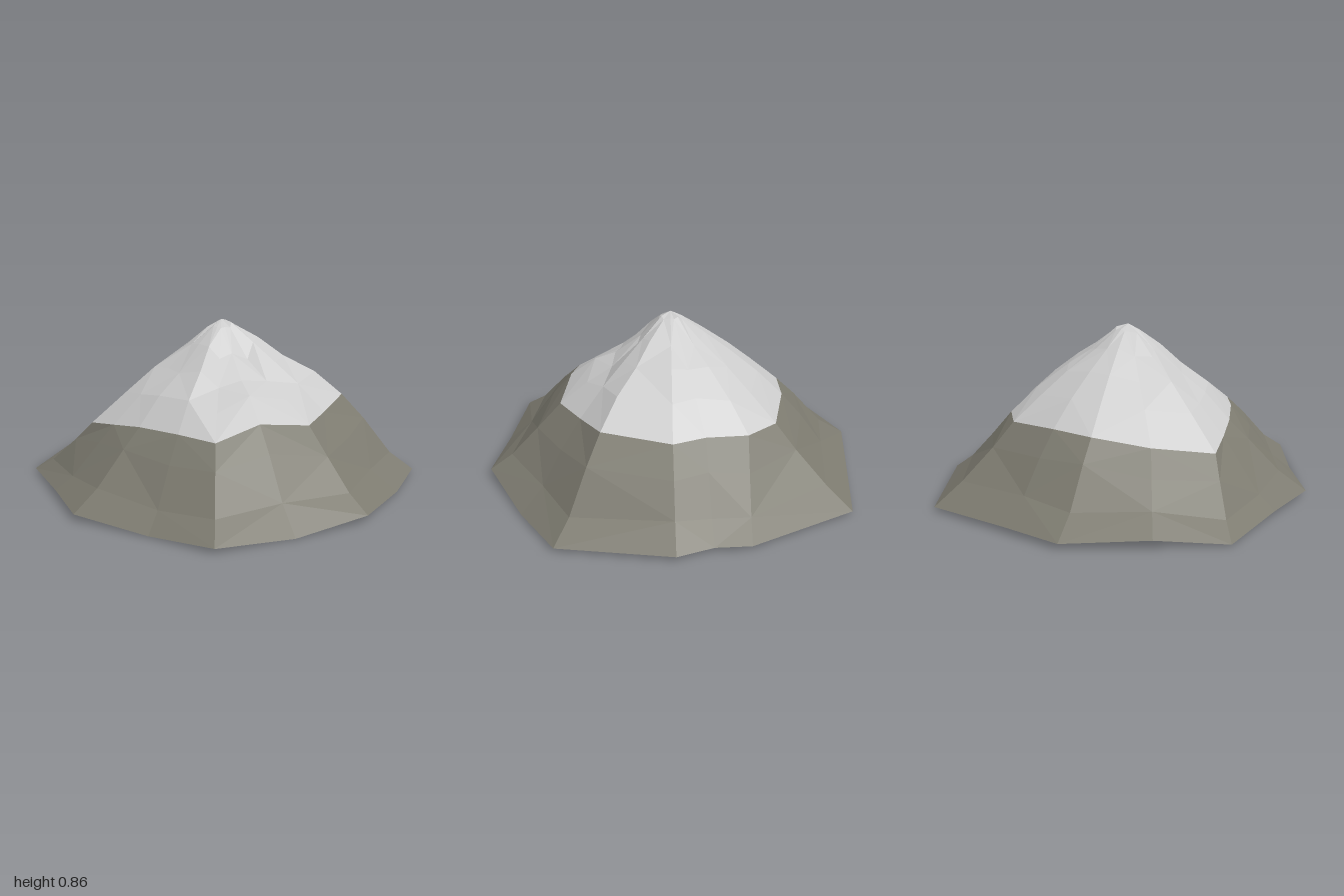
import * as THREE from 'three';

// Sixteen spokes, running from +x towards +z: [x, y, z]
const BASE = [
  [1, 0.04, -0.03], [0.88, 0, 0.35], [0.74, 0.025, 0.73], [0.4, 0.005, 0.83],
  [0, 0.03, 0.965], [-0.33, 0.03, 0.85], [-0.73, 0.01, 0.715], [-0.87, 0.045, 0.38],
  [-1, 0.03, -0.03], [-0.9, 0.03, -0.34], [-0.755, 0.02, -0.79], [-0.18, 0.025, -0.965],
  [0, 0.03, -0.945], [0.19, 0.025, -0.97], [0.74, 0.02, -0.775], [0.87, 0.01, -0.45],
];
const SNOW_LINE = [
  [0.61, 0.4, -0.04], [0.52, 0.44, 0.22], [0.45, 0.38, 0.45], [0.25, 0.39, 0.51],
  [0, 0.38, 0.55], [-0.2, 0.35, 0.56], [-0.39, 0.32, 0.56], [-0.52, 0.36, 0.27],
  [-0.59, 0.41, -0.01], [-0.55, 0.42, -0.22], [-0.43, 0.4, -0.49], [-0.26, 0.4, -0.58],
  [-0.04, 0.42, -0.59], [0.13, 0.42, -0.62], [0.46, 0.45, -0.48], [0.53, 0.41, -0.25],
];
const PEAK = [0.01, 0.86, -0.01];
const N = BASE.length;

// Repeatable offset in -1..1 for rough facets
function rough(i, j) {
  const s = Math.sin(i * 127.1 + j * 311.7) * 43758.5453;
  return (s - Math.floor(s)) * 2 - 1;
}

// Ring between two rings: t along the slope, lift(i) added to the height
function between(lower, upper, t, jitter, lift) {
  return lower.map((p, i) => {
    const q = upper[i];
    const u = t + jitter * rough(i, t * 10);
    const at = (k) => p[k] + (q[k] - p[k]) * u;
    return [at(0), at(1) + lift(i) + 0.012 * rough(i + 40, t * 10), at(2)];
  });
}

// Faceted shell through the rings, alternating the diagonals
function shell(rings, color) {
  const pos = [];
  const tri = (...pts) => pts.forEach((p) => pos.push(...p));
  for (let r = 0; r < rings.length - 1; r++) {
    for (let i = 0; i < N; i++) {
      const j = (i + 1) % N;
      const a = rings[r][i], b = rings[r][j], c = rings[r + 1][j], d = rings[r + 1][i];
      if (d === c) {
        tri(a, d, b);
      } else if ((i + r) % 2) {
        tri(a, d, b);
        tri(b, d, c);
      } else {
        tri(a, d, c);
        tri(a, c, b);
      }
    }
  }
  const geometry = new THREE.BufferGeometry();
  geometry.setAttribute('position', new THREE.Float32BufferAttribute(pos, 3));
  geometry.computeVertexNormals();
  return new THREE.Mesh(geometry, new THREE.MeshStandardMaterial({
    color, flatShading: true, side: THREE.DoubleSide,
  }));
}

export function createModel() {
  const mountain = new THREE.Group();
  mountain.name = 'mountain';

  // Rocky skirt, open underneath
  const rock = shell([
    BASE,
    between(BASE, SNOW_LINE, 0.34, 0.05, () => -0.03),
    between(BASE, SNOW_LINE, 0.7, 0.05, () => -0.01),
    SNOW_LINE,
  ], 0x7d7b70);
  rock.name = 'rockSlope';

  // Snow cap, with a shallow hollow on the front left flank
  const summit = SNOW_LINE.map(() => PEAK);
  const hollow = (depth) => (i) => (i < 3 ? 0.01 - depth : 0.02);
  const snow = shell([
    SNOW_LINE,
    between(SNOW_LINE, summit, 0.25, 0.03, hollow(0.02)),
    between(SNOW_LINE, summit, 0.48, 0.03, hollow(0.05)),
    between(SNOW_LINE, summit, 0.7, 0.02, hollow(0.05)),
    between(SNOW_LINE, summit, 0.9, 0.01, hollow(0.01)),
    summit,
  ], 0xcccccc);
  snow.name = 'snowCap';

  mountain.add(rock, snow);
  return mountain;
}
